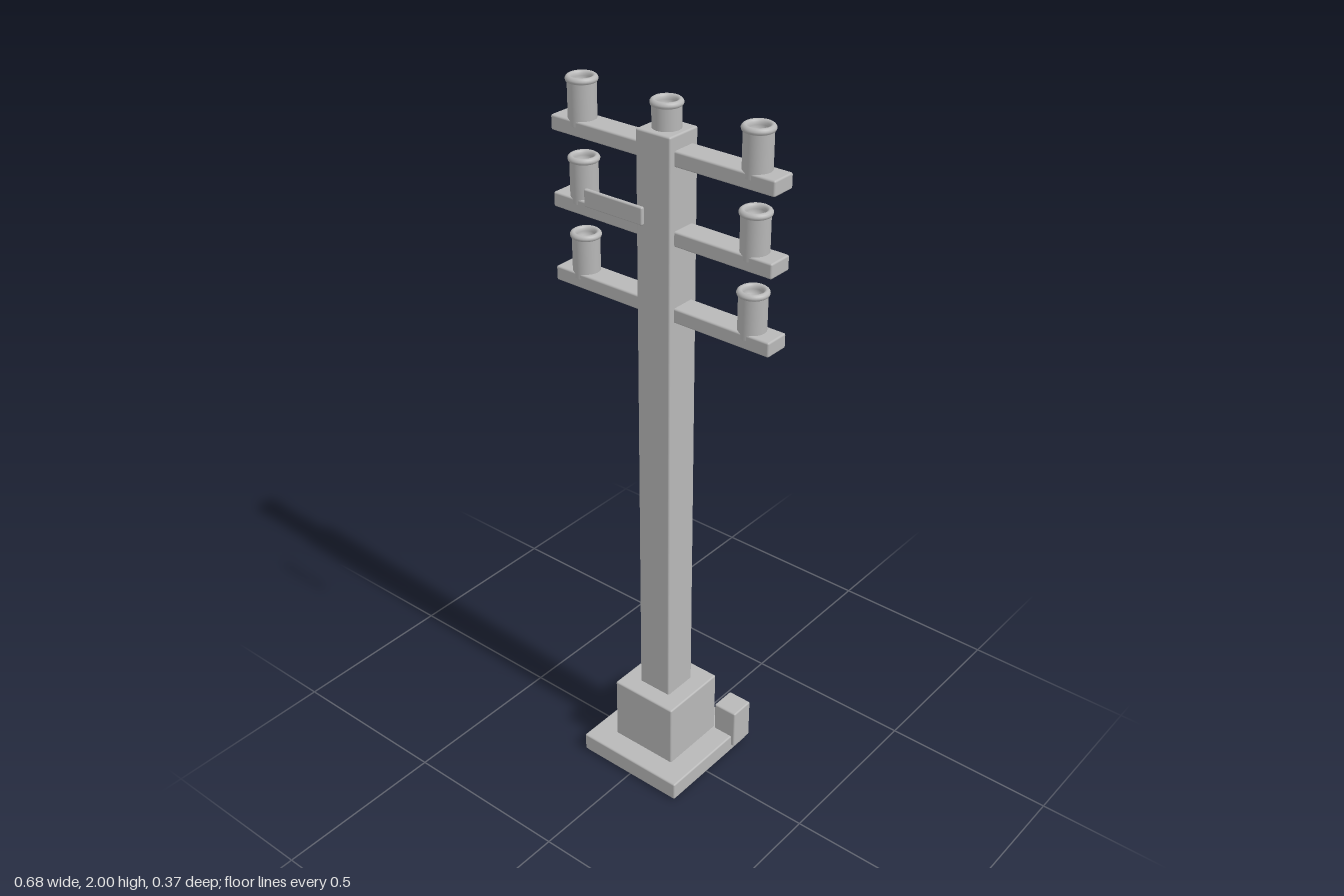
import * as THREE from 'three';
import { RoundedBoxGeometry } from 'three/addons/geometries/RoundedBoxGeometry.js';

export function createModel() {
  const model = new THREE.Group();
  model.name = 'utilityPole';
  const concrete = new THREE.MeshStandardMaterial({ color: 0xb8b8b8 });
  concrete.name = 'concrete grey';
  const AXIS_Z = -0.0155; // the pole stands slightly behind the centre

  function add(name, geometry, x, y, z) {
    const mesh = new THREE.Mesh(geometry, concrete);
    mesh.name = name;
    mesh.position.set(x, y, z);
    model.add(mesh);
  }

  // Softly bevelled box standing on y0
  function box(name, w, d, y0, y1, x = 0, z = AXIS_Z, bevel = 0.005) {
    add(name, new RoundedBoxGeometry(w, y1 - y0, d, 2, bevel), x, (y0 + y1) / 2, z);
  }

  // Base and pole
  box('basePlate', 0.341, 0.341, 0.005, 0.06);
  box('plinth', 0.207, 0.207, 0.03, 0.254);
  box('pole', 0.105, 0.105, 0.2, 1.93);
  for (const side of [-1, 1]) {
    box(side > 0 ? 'leftRearBlock' : 'rightRearBlock', 0.075, 0.075, 0.025, 0.15, side * 0.1445, -0.149);
  }
  box('baseUnderside', 0.335, 0.335, 0, 0.04);

  // Hollow cup insulator with a rolled lip, measured down from its top
  const profile = [
    [0, -0.125], [0.034, -0.125], [0.0365, -0.122], [0.0365, -0.016],
    [0.0395, -0.014], [0.041, -0.010], [0.041, -0.007], [0.039, -0.003], [0.035, 0],
    [0.031, 0], [0.028, -0.002], [0.0255, -0.006], [0.0245, -0.012],
    [0.0245, -0.03], [0, -0.03],
  ].map(([r, y]) => new THREE.Vector2(r, y));
  const insulator = new THREE.LatheGeometry(profile, 32);

  // Three crossarms with a pair of insulators each
  for (const top of [2.0, 1.797, 1.592]) {
    box('crossarm', 0.682, 0.071, top - 0.147, top - 0.107);
    for (const side of [-1, 1]) add('insulator', insulator, side * 0.266, top, AXIS_Z);
  }
  add('topInsulator', insulator, 0, 2.0, AXIS_Z);

  // Sign plate held in front of the pole
  box('signPlate', 0.177, 0.011, 1.77, 1.815, 0, 0.178, 0.004);

  return model;
}
